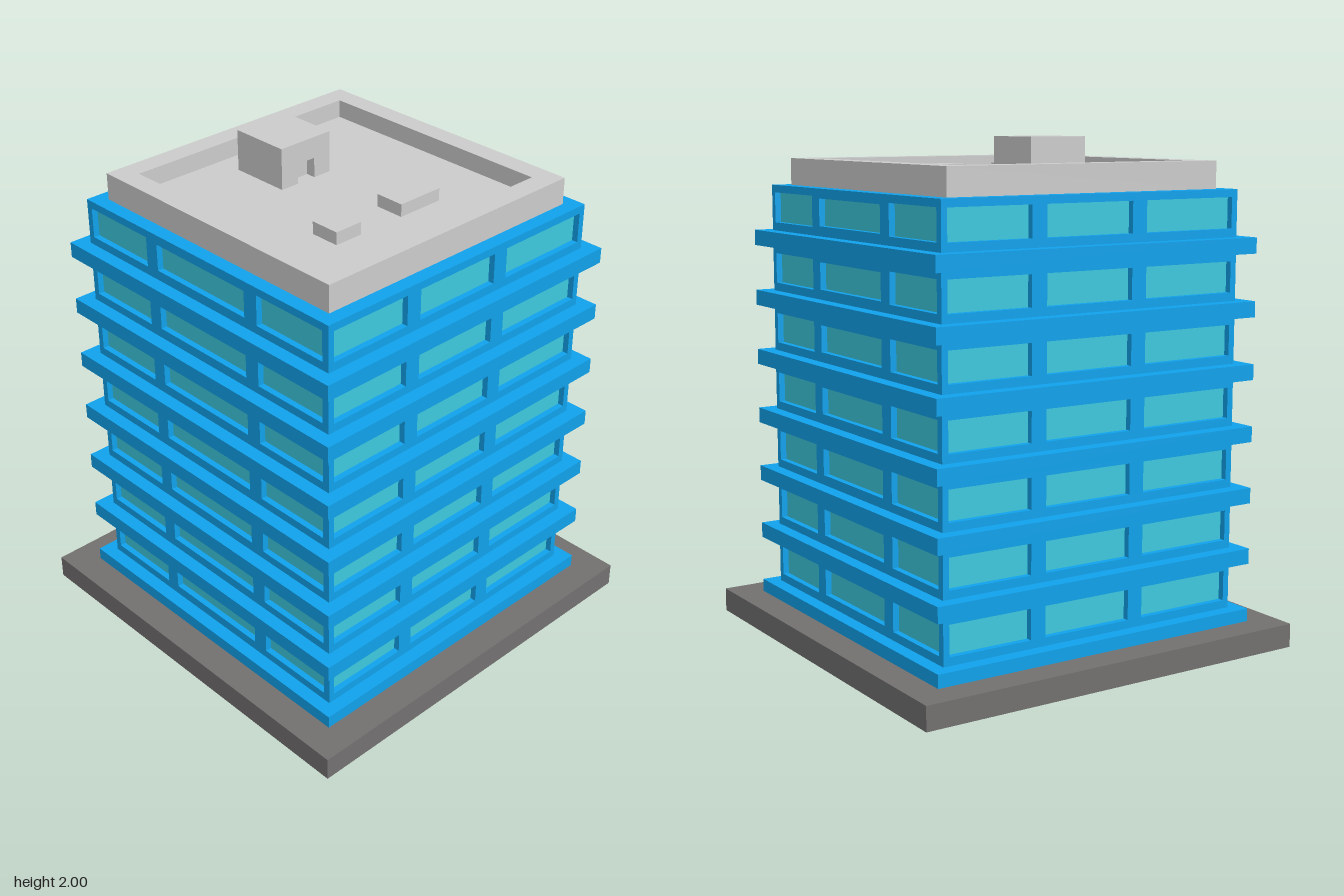
import * as THREE from 'three';

const mat = (color) => new THREE.MeshStandardMaterial({ color, flatShading: true });
const BLUE = mat(0x11a2ec), GLASS = mat(0x3ec9de), DARK = mat(0x737070), GREY = mat(0xcccccc);

const FLOORS = 7, PITCH = 0.245;
const BASE_TOP = 0.095, WALL_TOP = 1.78, BODY_TOP = 1.8, ROOF = 1.835;
const HALF = 0.66, RECESS = 0.025, CORE = HALF - RECESS;

function rect(Type, x0, x1, y0, y1) {
  const s = new Type();
  s.moveTo(x0, y0);
  s.lineTo(x1, y0);
  s.lineTo(x1, y1);
  s.lineTo(x0, y1);
  s.closePath();
  return s;
}

function add(parent, name, geometry, material) {
  const mesh = new THREE.Mesh(geometry, material);
  mesh.name = name;
  parent.add(mesh);
  return mesh;
}

// Box given by its extents
function box(parent, name, material, x0, x1, y0, y1, z0, z1) {
  const mesh = add(parent, name, new THREE.BoxGeometry(x1 - x0, y1 - y0, z1 - z0), material);
  mesh.position.set((x0 + x1) / 2, (y0 + y1) / 2, (z0 + z1) / 2);
  return mesh;
}

// Wall panel with a window opening per column and floor; column: [x0, x1, y0, y1]
function wall(half, columns) {
  const shape = rect(THREE.Shape, -half, half, BASE_TOP, WALL_TOP);
  for (let f = 0; f < FLOORS; f++)
    for (const [x0, x1, y0, y1] of columns)
      shape.holes.push(rect(THREE.Path, x0, x1, y0 + f * PITCH, y1 + f * PITCH));
  return new THREE.ExtrudeGeometry(shape, { depth: RECESS, bevelEnabled: false });
}

// Roof block with a small opening at the bottom of its +z side
function notchedBlock(name, w, h, d, notchW, notchH) {
  const group = new THREE.Group();
  group.name = name;
  const depth = 0.04, n = notchW / 2;
  const s = new THREE.Shape();
  [[-w / 2, 0], [-n, 0], [-n, notchH], [n, notchH], [n, 0], [w / 2, 0], [w / 2, h], [-w / 2, h]]
    .forEach(([x, y], i) => (i ? s.lineTo(x, y) : s.moveTo(x, y)));
  const front = add(group, name + 'Opening', new THREE.ExtrudeGeometry(s, { depth, bevelEnabled: false }), GREY);
  front.position.z = d / 2 - depth;
  box(group, name + 'Body', GREY, -w / 2, w / 2, 0, h, -d / 2, d / 2 - depth);
  return group;
}

export function createModel() {
  const model = new THREE.Group();
  model.name = 'officeBuilding';

  // Ground plinth
  box(model, 'plinth', DARK, -0.835, 0.835, 0, BASE_TOP, -0.835, 0.835);

  // Glass core behind the walls
  box(model, 'windowGlass', GLASS, -CORE, CORE, BASE_TOP, WALL_TOP, -CORE, CORE);

  // Walls: opposite sides repeat by half a turn
  const frontWall = wall(HALF, [
    [-0.635, -0.285, 0.18, 0.3], [-0.22, 0.16, 0.18, 0.3], [0.225, 0.634, 0.18, 0.3],
  ]);
  const sideWall = wall(CORE, [
    [-0.634, -0.305, 0.18, 0.3], [-0.245, 0.235, 0.186, 0.292], [0.3, 0.63, 0.18, 0.3],
  ]);
  ['frontWall', 'leftWall', 'backWall', 'rightWall'].forEach((name, i) => {
    const pivot = new THREE.Group();
    pivot.name = name;
    pivot.rotation.y = i * Math.PI / 2;
    add(pivot, name + 'Panel', i % 2 ? sideWall : frontWall, BLUE).position.z = CORE;
    model.add(pivot);
  });
  box(model, 'wallCap', BLUE, -HALF, HALF, WALL_TOP, BODY_TOP, -HALF, HALF);

  // Projecting floor slabs
  for (let f = 0; f < FLOORS; f++) {
    const y = 0.085 + f * PITCH;
    box(model, 'floorSlab' + (f + 1), BLUE, -0.715, 0.715, Math.max(y, BASE_TOP), y + 0.062, -0.715, 0.715);
  }

  // Roof deck and parapet
  box(model, 'roofDeck', GREY, -0.55, 0.55, BODY_TOP, ROOF, -0.55, 0.55);
  const ring = rect(THREE.Shape, -0.602, 0.602, -0.602, 0.602);
  ring.holes.push(rect(THREE.Path, -0.517, 0.517, -0.515, 0.515));
  const parapet = add(model, 'parapet',
    new THREE.ExtrudeGeometry(ring, { depth: 0.107, bevelEnabled: false }), GREY);
  parapet.rotation.x = -Math.PI / 2;
  parapet.position.y = BODY_TOP;

  // Stair house with its doorway facing the front
  const stairHouse = notchedBlock('stairHouse', 0.245, 2 - ROOF, 0.25, 0.085, 0.08);
  stairHouse.position.set(-0.002, ROOF, -0.282);
  model.add(stairHouse);

  // Ventilation units, opening to the left side
  [[-0.23, 0.12], [0.135, 0.2]].forEach(([x, length], i) => {
    const unit = notchedBlock('ventUnit' + (i + 1), 0.122, 0.05, length, 0.07, 0.03);
    unit.rotation.y = Math.PI / 2;
    unit.position.set(x, ROOF, 0.25);
    model.add(unit);
  });

  return model;
}
